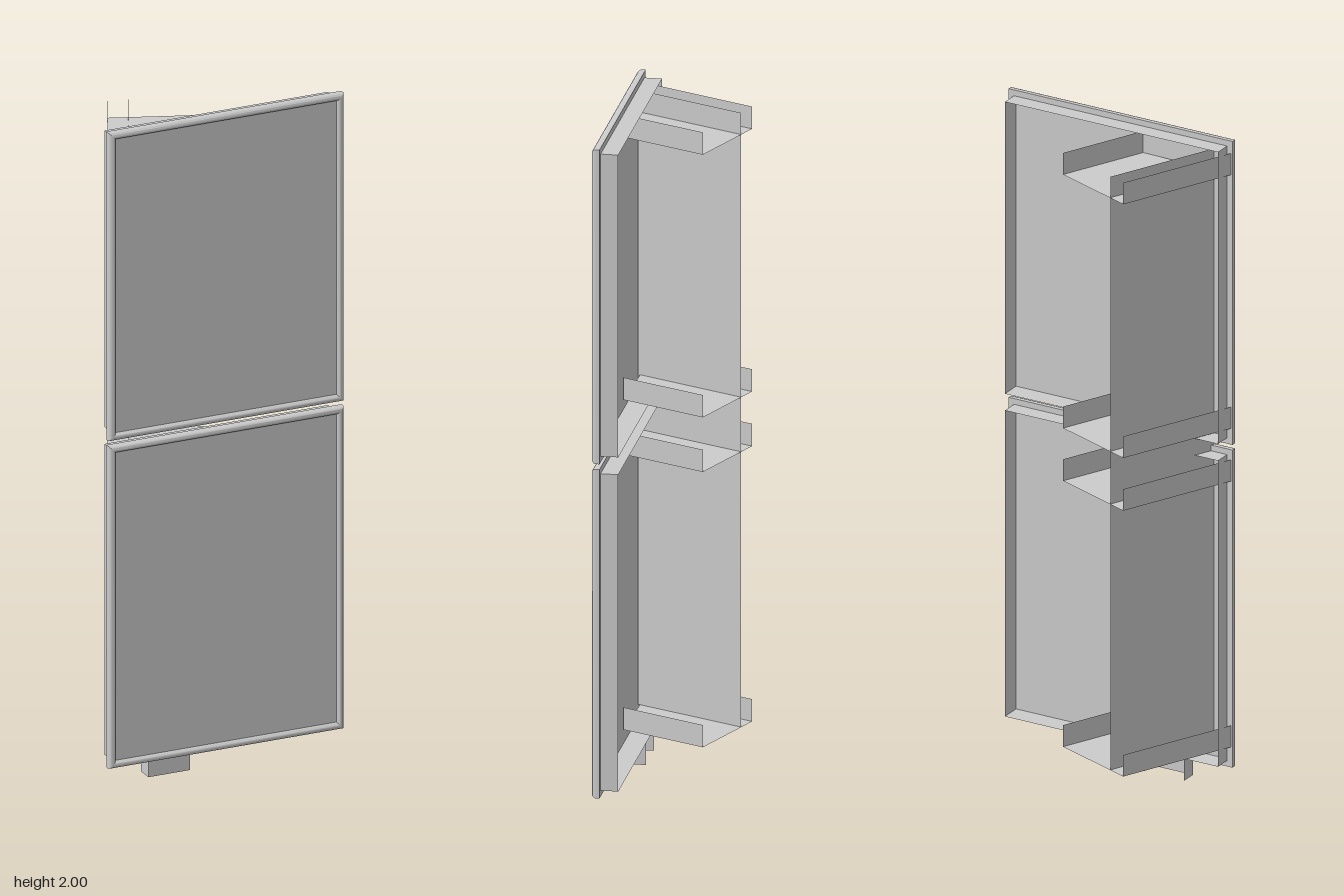
import * as THREE from 'three';
import { toCreasedNormals } from 'three/addons/utils/BufferGeometryUtils.js';

const material = new THREE.MeshStandardMaterial({ color: 0xcccccc, side: THREE.DoubleSide });
const TURN = THREE.MathUtils.degToRad(25);
const HALF = 0.371; // half width of a panel

function add(parent, name, geometry, x = 0, y = 0, z = 0) {
  const mesh = new THREE.Mesh(geometry, material);
  mesh.name = name;
  mesh.position.set(x, y, z);
  parent.add(mesh);
  return mesh;
}

// Sweeps a profile of [inset, z] points round a rectangle with mitred corners
function rectSweep(profile, halfW, halfH) {
  const positions = [];
  const corners = [[-1, -1], [1, -1], [1, 1], [-1, 1]];
  const point = ([inset, z], [sx, sy]) => [sx * (halfW - inset), sy * (halfH - inset), z];
  for (let s = 0; s < 4; s++) {
    const c0 = corners[s], c1 = corners[(s + 1) % 4];
    for (let i = 0; i < profile.length - 1; i++) {
      const a = point(profile[i], c0), b = point(profile[i], c1);
      const c = point(profile[i + 1], c1), d = point(profile[i + 1], c0);
      positions.push(...a, ...b, ...c, ...a, ...c, ...d);
    }
  }
  const g = new THREE.BufferGeometry();
  g.setAttribute('position', new THREE.Float32BufferAttribute(positions, 3));
  return toCreasedNormals(g, 0.8);
}

// Thin upright sheet between two points in plan
function wall(parent, name, [x0, z0], [x1, z1], y0, y1) {
  const g = new THREE.PlaneGeometry(Math.hypot(x1 - x0, z1 - z0), y1 - y0);
  const mesh = add(parent, name, g, (x0 + x1) / 2, (y0 + y1) / 2, (z0 + z1) / 2);
  mesh.rotation.y = -Math.atan2(z1 - z0, x1 - x0);
}

// Framed sheet with a rounded border and an open tray rim behind it
function makePanel(name, y0, y1) {
  const panel = new THREE.Group();
  panel.name = name;
  panel.position.set(-0.015, (y0 + y1) / 2, 0);
  const halfH = (y1 - y0) / 2;
  const border = [[0.018, 0.024], [0, 0.024], [0, 0.036], [0.002, 0.042], [0.006, 0.046],
    [0.011, 0.048], [0.016, 0.046], [0.02, 0.042], [0.022, 0.036]];
  add(panel, name + 'Frame', rectSweep(border, HALF, halfH));
  add(panel, name + 'Rim', rectSweep([[0.018, -0.027], [0.018, 0.036]], HALF, halfH));
  add(panel, name + 'Face', new THREE.PlaneGeometry(2 * HALF - 0.036, 2 * halfH - 0.036), 0, 0, 0.036);
  return panel;
}

// Shelf-like bracket with an upturned flange on each side
function makeBracket(y) {
  const bracket = new THREE.Group();
  bracket.name = 'bracket';
  const plan = [[-0.335, -0.19], [-0.062, -0.211], [-0.062, 0.066], [-0.335, 0.185]];
  const shape = new THREE.Shape(plan.map(([x, z]) => new THREE.Vector2(x, -z)));
  add(bracket, 'bracketPlate', new THREE.ShapeGeometry(shape).rotateX(-Math.PI / 2), 0, y, 0);
  wall(bracket, 'bracketRightFlange', plan[0], plan[3], y, y + 0.067);
  wall(bracket, 'bracketLeftFlange', plan[1], plan[2], y, y + 0.067);
  return bracket;
}

export function createModel() {
  const model = new THREE.Group();
  model.name = 'panelStand';

  // Turned pair of panels and the small foot under them
  const panels = new THREE.Group();
  panels.name = 'panels';
  panels.rotation.y = TURN;
  panels.add(makePanel('lowerPanel', 0.052, 1.04), makePanel('upperPanel', 1.056, 2));
  const foot = new THREE.Group();
  foot.name = 'foot';
  const u0 = -0.254, u1 = -0.122, front = 0.025, back = -0.024;
  wall(foot, 'footFront', [u0, front], [u1, front], 0, 0.07);
  wall(foot, 'footRightSide', [u0, back], [u0, front], 0, 0.07);
  wall(foot, 'footLeftSide', [u1, back], [u1, front], 0, 0.07);
  panels.add(foot);
  model.add(panels);

  // Rear brackets joined by one tall upright sheet
  for (const y of [0.115, 0.942, 1.106, 1.895]) model.add(makeBracket(y));
  wall(model, 'rearUpright', [-0.275, -0.193], [-0.275, 0.166], 0.115, 1.96);

  return model;
}
